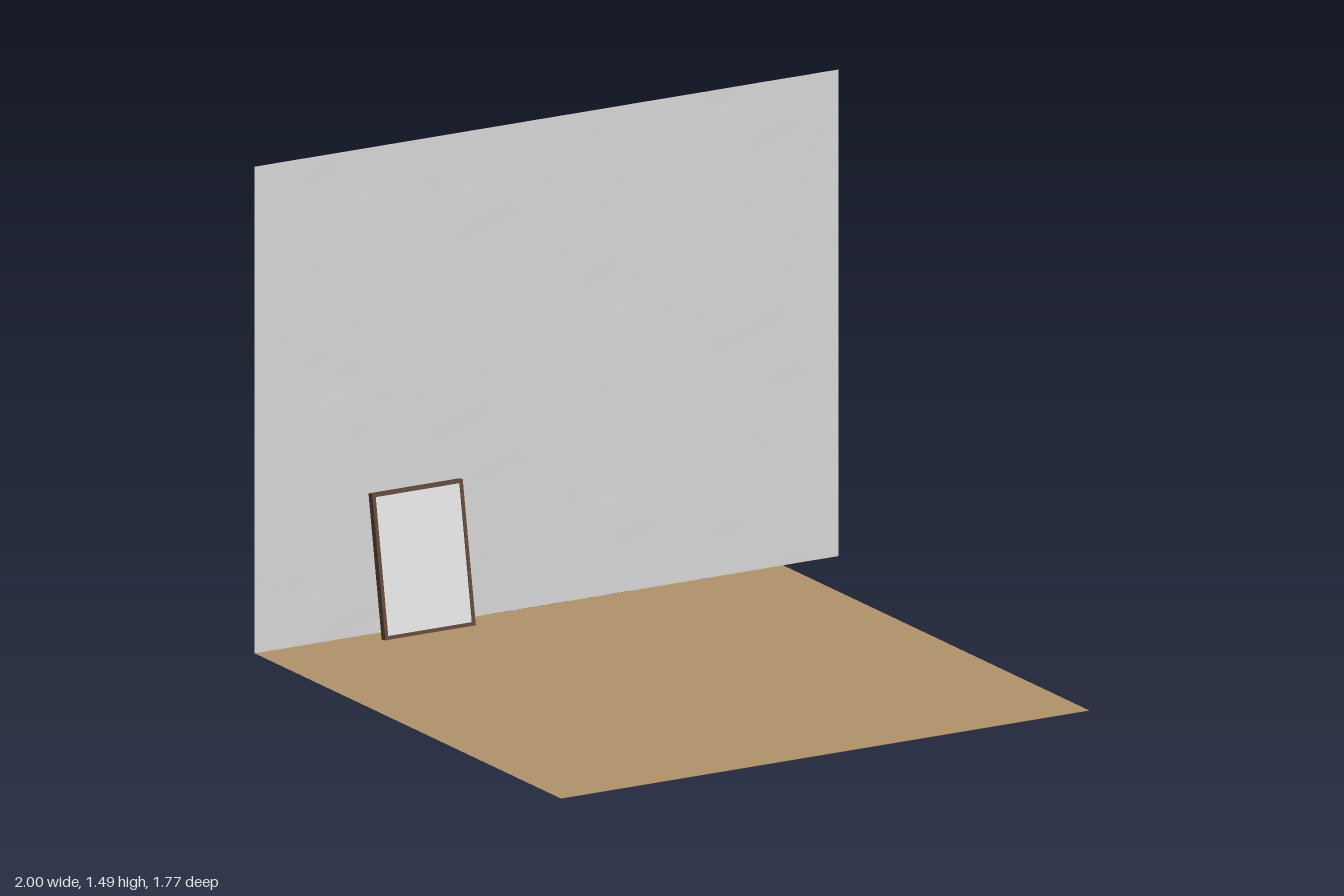
import * as THREE from 'three';

const mat = (name, color, side = THREE.FrontSide) => {
  const m = new THREE.MeshStandardMaterial({ color, side });
  m.name = name;
  return m;
};

function add(parent, name, geometry, material, x = 0, y = 0, z = 0) {
  const mesh = new THREE.Mesh(geometry, material);
  mesh.name = name;
  mesh.position.set(x, y, z);
  parent.add(mesh);
  return mesh;
}

export function createModel() {
  const plaster = mat('plaster grey', 0xd6d6d6, THREE.DoubleSide);
  const sand = mat('floor tan', 0xb0926a, THREE.DoubleSide);
  const wood = mat('frame brown', 0x5c4030);
  const glass = mat('mirror glass', 0xdedede);
  const room = new THREE.Group();
  room.name = 'room corner with leaning mirror';
  const backZ = -0.885;

  // Flat floor, stopping short of the wall's left end
  const floor = new THREE.PlaneGeometry(1.81, 1.77).rotateX(-Math.PI / 2);
  add(room, 'floor', floor, sand, -0.095, 0, 0);

  // Plaster wall with very shallow trowel ripples
  const wallGeo = new THREE.PlaneGeometry(2, 1.494, 100, 75);
  const p = wallGeo.attributes.position;
  for (let i = 0; i < p.count; i++) {
    const x = p.getX(i), y = p.getY(i);
    const ripple = Math.sin(23 * x - 31 * y + 2 * Math.sin(9 * y + 5 * x))
      * Math.sin(17 * y + 11 * x + 2 * Math.sin(13 * x));
    p.setZ(i, 0.0005 * ripple);
  }
  wallGeo.computeVertexNormals();
  add(room, 'wall', wallGeo, plaster, 0, 0.747, backZ);

  // Mirror leaning back against the wall
  const mirror = new THREE.Group();
  mirror.name = 'leaningMirror';
  mirror.position.set(-0.46, 0.007, -0.79);
  mirror.rotation.x = -THREE.MathUtils.degToRad(10);
  room.add(mirror);
  const w = 0.31, h = 0.437, d = 0.022, bar = 0.011;

  // Rectangular frame with an opening
  const outline = new THREE.Shape([
    new THREE.Vector2(-w / 2, 0), new THREE.Vector2(w / 2, 0),
    new THREE.Vector2(w / 2, h), new THREE.Vector2(-w / 2, h),
  ]);
  const ix = w / 2 - bar;
  outline.holes.push(new THREE.Path([
    new THREE.Vector2(-ix, bar), new THREE.Vector2(-ix, h - bar),
    new THREE.Vector2(ix, h - bar), new THREE.Vector2(ix, bar),
  ]));
  const frame = new THREE.ExtrudeGeometry(outline, { depth: d, bevelEnabled: false });
  add(mirror, 'mirrorFrame', frame, wood, 0, 0, -d / 2);

  // Backing board and glass, set just inside the frame
  const iw = w - 2 * bar, ih = h - 2 * bar;
  add(mirror, 'mirrorBacking', new THREE.BoxGeometry(iw, ih, 0.01), wood, 0, h / 2, -0.005);
  add(mirror, 'mirrorGlass', new THREE.BoxGeometry(iw, ih, 0.008), glass, 0, h / 2, 0.004);

  return room;
}
